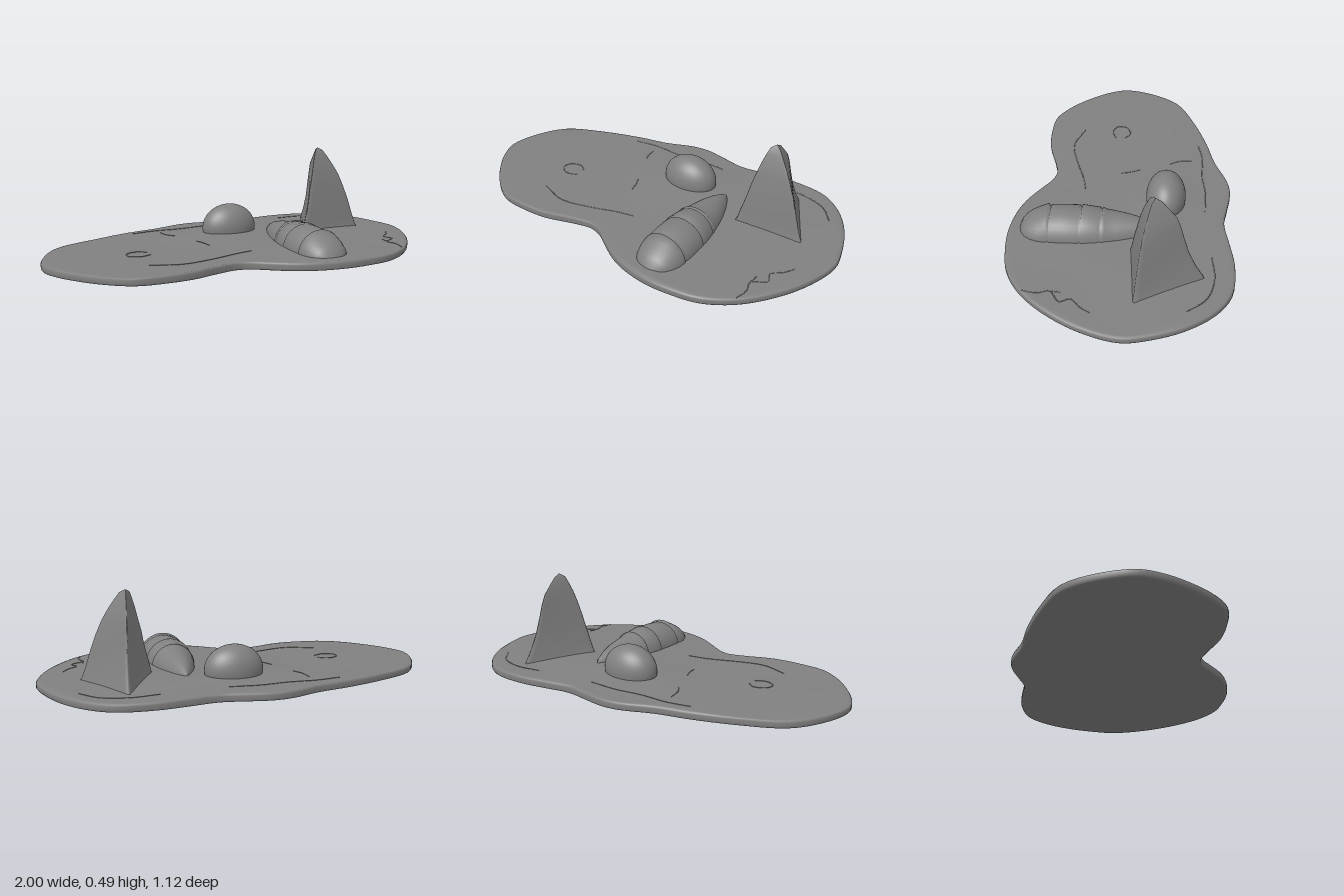
import * as THREE from 'three';

const material = new THREE.MeshStandardMaterial({ color: 0x808080, side: THREE.DoubleSide });

// Skin a stack of closed rings, each an array of [x, y, z]
function loft(name, rings) {
  const n = rings[0].length, index = [];
  for (let i = 0; i < rings.length - 1; i++) {
    for (let j = 0; j < n; j++) {
      const k = (j + 1) % n;
      const a = i * n + j, b = i * n + k, c = (i + 1) * n + k, d = (i + 1) * n + j;
      index.push(a, b, c, a, c, d);
    }
  }
  const geo = new THREE.BufferGeometry();
  geo.setAttribute('position', new THREE.Float32BufferAttribute(rings.flat(2), 3));
  geo.setIndex(index);
  geo.computeVertexNormals();
  const mesh = new THREE.Mesh(geo, material);
  mesh.name = name;
  return mesh;
}

const bump = (x, z, cx, cz, rx, rz) => Math.exp(-(((x - cx) / rx) ** 2) - ((z - cz) / rz) ** 2);

// Gently uneven top of the slab
const ground = (x, z) => 0.05 + 0.018 * bump(x, z, 0.02, -0.2, 0.3, 0.2)
  + 0.01 * bump(x, z, 0.3, 0.15, 0.25, 0.45) + 0.01 * bump(x, z, 0.6, -0.2, 0.25, 0.25)
  + 0.004 * bump(x, z, -0.53, 0.04, 0.12, 0.12) + 0.002 * Math.sin(9 * x + 2) * Math.cos(8 * z);
const underside = (x, z) => 0.011 - 0.011 * bump(x, z, -0.6, 0.18, 0.2, 0.15);

// Slab outline, half-pinched like a footprint
const outline = [
  [-1, 0.03], [-0.97, 0.13], [-0.9, 0.24], [-0.8, 0.35], [-0.68, 0.43], [-0.55, 0.445], [-0.4, 0.435],
  [-0.25, 0.39], [-0.15, 0.37], [-0.08, 0.39], [-0.02, 0.43], [0.1, 0.505], [0.22, 0.545], [0.34, 0.56],
  [0.46, 0.553], [0.6, 0.525], [0.74, 0.44], [0.87, 0.29], [0.96, 0.12], [1, -0.04], [0.98, -0.16],
  [0.92, -0.32], [0.82, -0.46], [0.7, -0.54], [0.52, -0.56], [0.36, -0.54], [0.22, -0.52], [0.1, -0.54],
  [-0.02, -0.56], [-0.12, -0.55], [-0.28, -0.49], [-0.45, -0.45], [-0.66, -0.38], [-0.86, -0.28], [-0.96, -0.13],
];

function makeSlab() {
  const curve = new THREE.CatmullRomCurve3(outline.map(([x, z]) => new THREE.Vector3(x, 0, z)), true);
  const pts = curve.getPoints(140).slice(0, -1);
  const ring = (s, height) => pts.map((p) => [p.x * s, height(p.x * s, p.z * s), p.z * s]);
  const rings = [0, 0.2, 0.4, 0.6, 0.8, 0.98].map((s) => ring(s, underside));
  rings.push(ring(0.994, () => 0.013), ring(1, () => 0.021), ring(1, () => 0.04), ring(0.995, () => 0.047));
  for (const s of [0.982, 0.95, 0.9, 0.8, 0.7, 0.6, 0.5, 0.4, 0.3, 0.2, 0.1, 0]) rings.push(ring(s, ground));
  return loft('slab', rings);
}

// Egg-shaped dome
function makeDome() {
  const geo = new THREE.SphereGeometry(1, 40, 16, 0, Math.PI * 2, 0, Math.PI * 0.6);
  geo.scale(0.148, 0.125, 0.102);
  const mesh = new THREE.Mesh(geo, material);
  mesh.position.set(0.065, 0.087, -0.223);
  mesh.name = 'dome';
  return mesh;
}

// Segmented grub: [z, half width, top height]
function makeGrub() {
  const sections = [
    [-0.21, 0.004, 0.07], [-0.18, 0.028, 0.09], [-0.12, 0.056, 0.115], [-0.05, 0.08, 0.132], [0.02, 0.098, 0.142],
    [0.075, 0.108, 0.15], [0.087, 0.113, 0.162], [0.094, 0.106, 0.145], [0.1, 0.113, 0.158], [0.15, 0.12, 0.163],
    [0.19, 0.123, 0.169], [0.197, 0.116, 0.15], [0.204, 0.123, 0.165], [0.28, 0.126, 0.163],
    [0.345, 0.124, 0.158], [0.352, 0.116, 0.142], [0.362, 0.124, 0.166], [0.4, 0.12, 0.147],
    [0.44, 0.106, 0.127], [0.47, 0.086, 0.105], [0.49, 0.06, 0.08], [0.503, 0.02, 0.052],
  ];
  const n = 36;
  const rings = sections.map(([z, w, top]) => Array.from({ length: n }, (_, j) => {
    const a = (j / n) * Math.PI * 2, s = Math.sin(a);
    return [0.297 + w * Math.cos(a), s > 0 ? 0.045 + (top - 0.045) * s : 0.045 + 0.02 * s, z];
  }));
  return loft('grub', rings);
}

// Three-sided fin: [y, right corner, back corner, left corner]
function makeFin() {
  const sections = [
    [0.03, [0.81, -0.08], [0.615, -0.43], [0.415, -0.05]],
    [0.07, [0.79, -0.088], [0.613, -0.41], [0.44, -0.06]],
    [0.12, [0.772, -0.092], [0.61, -0.378], [0.452, -0.068]],
    [0.2, [0.748, -0.1], [0.605, -0.34], [0.475, -0.08]],
    [0.28, [0.72, -0.11], [0.6, -0.315], [0.492, -0.095]],
    [0.35, [0.69, -0.12], [0.597, -0.295], [0.512, -0.108]],
    [0.4, [0.662, -0.132], [0.593, -0.275], [0.526, -0.121]],
    [0.45, [0.63, -0.147], [0.588, -0.232], [0.543, -0.139]],
    [0.482, [0.607, -0.157], [0.584, -0.203], [0.556, -0.152]],
    [0.496, [0.583, -0.172], [0.58, -0.175], [0.577, -0.171]],
  ];
  const rings = sections.map(([y, ...corners]) => {
    const mix = (a, b, t) => a.map((v, i) => v + (b[i] - v) * t);
    return corners.flatMap((c, i) => {
      const prev = corners[(i + 2) % 3], next = corners[(i + 1) % 3];
      // Clipped corner, then a flat side
      const path = [mix(c, prev, 0.09), mix(c, prev, 0.025), mix(c, next, 0.025), mix(c, next, 0.09), mix(c, next, 0.5)];
      return path.map(([x, z]) => [x, y, z]);
    });
  });
  return loft('fin', rings);
}

// Faint creases lying almost flush with the slab
function makeCreases() {
  const group = new THREE.Group();
  group.name = 'creases';
  const lines = [
    [[0.86, 0.1], [0.83, 0.15], [0.78, 0.2], [0.8, 0.25], [0.735, 0.3], [0.75, 0.36], [0.735, 0.43]],
    [[0.735, 0.3], [0.74, 0.25]],
    [[-0.28, -0.36], [-0.27, -0.29], [-0.24, -0.24]],
    [[-0.18, -0.08], [-0.16, -0.03], [-0.15, 0.02]],
    [[-0.42, -0.4], [-0.3, -0.42], [-0.15, -0.415], [0, -0.43], [0.15, -0.425]],
    [[-0.55, 0.25], [-0.4, 0.3], [-0.25, 0.27], [-0.1, 0.22], [0, 0.2]],
    [[0.48, -0.45], [0.62, -0.46], [0.75, -0.42], [0.83, -0.33]],
    [[-0.48, 0.02], [-0.52, -0.01], [-0.58, 0.01], [-0.59, 0.06], [-0.54, 0.09], [-0.48, 0.07]],
  ];
  for (const line of lines) {
    const path = new THREE.CatmullRomCurve3(line.map(([x, z]) => new THREE.Vector3(x, 0, z)));
    const pts = path.getPoints(24).map((p) => p.setY(ground(p.x, p.z)));
    const mesh = new THREE.Mesh(new THREE.TubeGeometry(new THREE.CatmullRomCurve3(pts), 32, 0.0025, 6), material);
    mesh.name = 'crease';
    group.add(mesh);
  }
  return group;
}

export function createModel() {
  const model = new THREE.Group();
  model.name = 'claySlab';
  model.add(makeSlab(), makeDome(), makeGrub(), makeFin(), makeCreases());
  return model;
}
